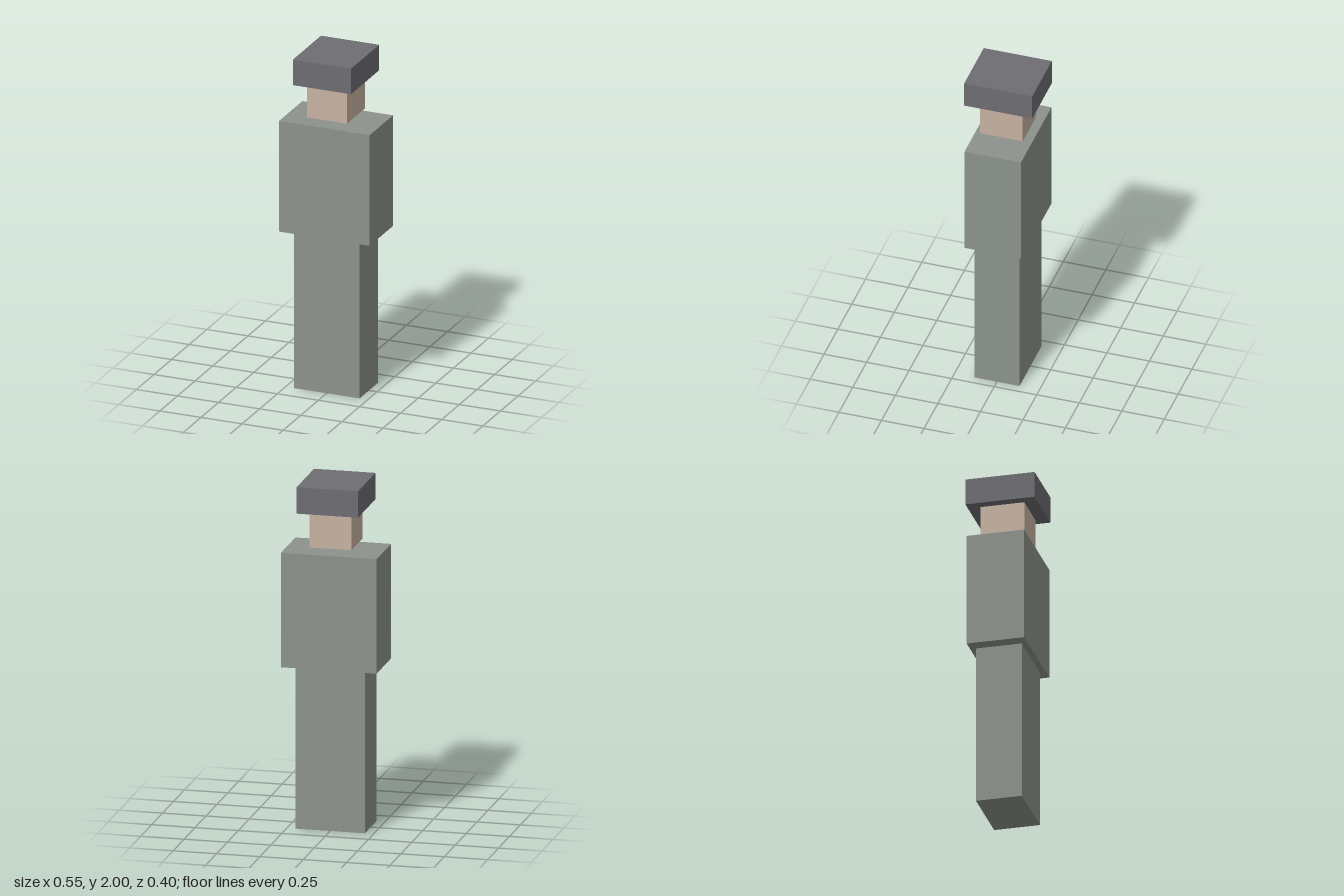
import * as THREE from 'three';

const mat = (name, color) => {
  const m = new THREE.MeshStandardMaterial({ color });
  m.name = name;
  return m;
};

export function createModel() {
  const group = new THREE.Group();
  group.name = 'blockFigure';

  const uniform = mat('grey green cloth', 0x8c938b);
  const skin = mat('skin', 0xc7b2a2);
  const dark = mat('dark grey', 0x6e6d72);

  // A centred block from height y0 to y1
  const block = (name, width, depth, y0, y1, material) => {
    const mesh = new THREE.Mesh(new THREE.BoxGeometry(width, y1 - y0, depth), material);
    mesh.name = name;
    mesh.position.y = (y0 + y1) / 2;
    group.add(mesh);
  };

  block('legs', 0.4, 0.265, 0, 0.94, uniform);
  block('torso', 0.552, 0.332, 0.94, 1.604, uniform);
  // The head floats just above the torso
  block('head', 0.242, 0.252, 1.635, 1.847, skin);
  block('hat', 0.354, 0.4, 1.847, 2, dark);

  return group;
}
